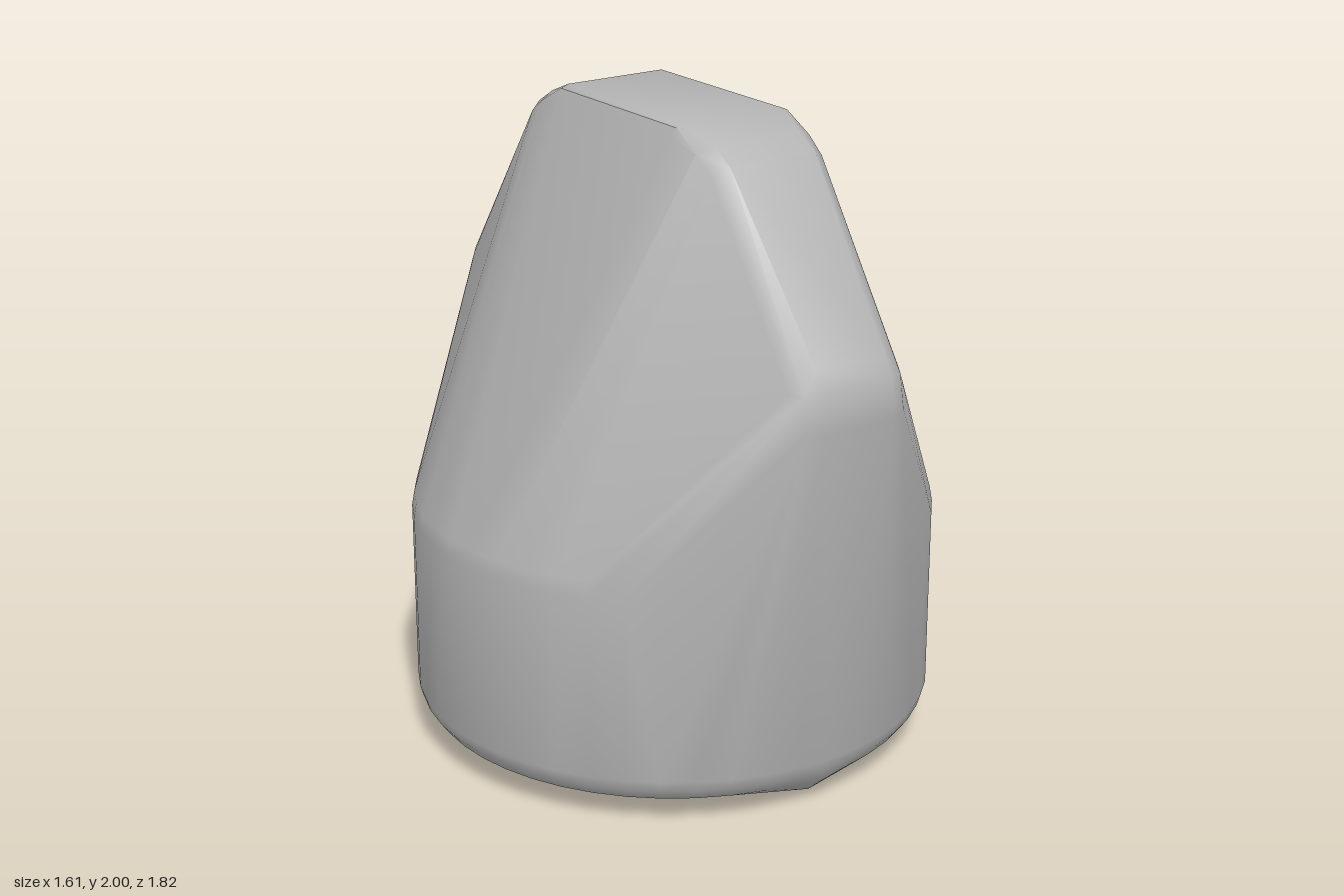
import * as THREE from 'three';
import { ConvexGeometry } from 'three/addons/geometries/ConvexGeometry.js';
import { mergeVertices, toCreasedNormals } from 'three/addons/utils/BufferGeometryUtils.js';

export function createModel() {
  const group = new THREE.Group();
  group.name = 'taperedKnob';
  const grey = new THREE.MeshStandardMaterial({ color: 0xb4b4b4 });
  grey.name = 'plain grey';

  const points = [];
  const add = (x, y, z) => points.push(new THREE.Vector3(x, y, z));

  // Round base: rings of [radius, height] with a rounded lower rim
  const rings = [[0.735, 0.075], [0.77, 0.09], [0.795, 0.125], [0.805, 0.16], [0.805, 0.73], [0.797, 0.775]];
  const sides = 48;
  for (const [r, y] of rings) {
    for (let i = 0; i < sides; i++) {
      const a = (i / sides) * Math.PI * 2;
      add(r * Math.sin(a), y, r * Math.cos(a));
    }
  }

  // Upper ridge: [half width, height, depth], mirrored across x and z
  const ridge = [
    // outer face, narrow
    [0.12, 1.24, 0.908], [0.12, 1.3, 0.905], [0.12, 1.355, 0.892], [0.12, 1.41, 0.863],
    [0.15, 1.91, 0.495], [0.15, 1.955, 0.42], [0.17, 2.0, 0.3],
    // rounded side edge, wide
    [0.17, 1.25, 0.89], [0.17, 1.35, 0.872], [0.195, 1.28, 0.855], [0.195, 1.35, 0.835],
    [0.195, 1.89, 0.465], [0.2, 1.935, 0.4], [0.195, 1.99, 0.3], [0.21, 1.965, 0.29],
  ];
  for (const [x, y, z] of ridge) {
    for (const sx of [-1, 1]) for (const sz of [-1, 1]) add(sx * x, y, sz * z);
  }

  // Pointer tip below the front of the base
  add(0, 0, 0.645);
  add(0, 0.02, 0.71);
  add(0, 0.065, 0.76);

  // Skin stretched over all sections, with soft edges
  const hull = new ConvexGeometry(points);
  hull.deleteAttribute('normal');
  const skin = toCreasedNormals(mergeVertices(hull, 1e-4), 0.6);
  const body = new THREE.Mesh(skin, grey);
  body.name = 'knobBody';
  group.add(body);
  return group;
}
